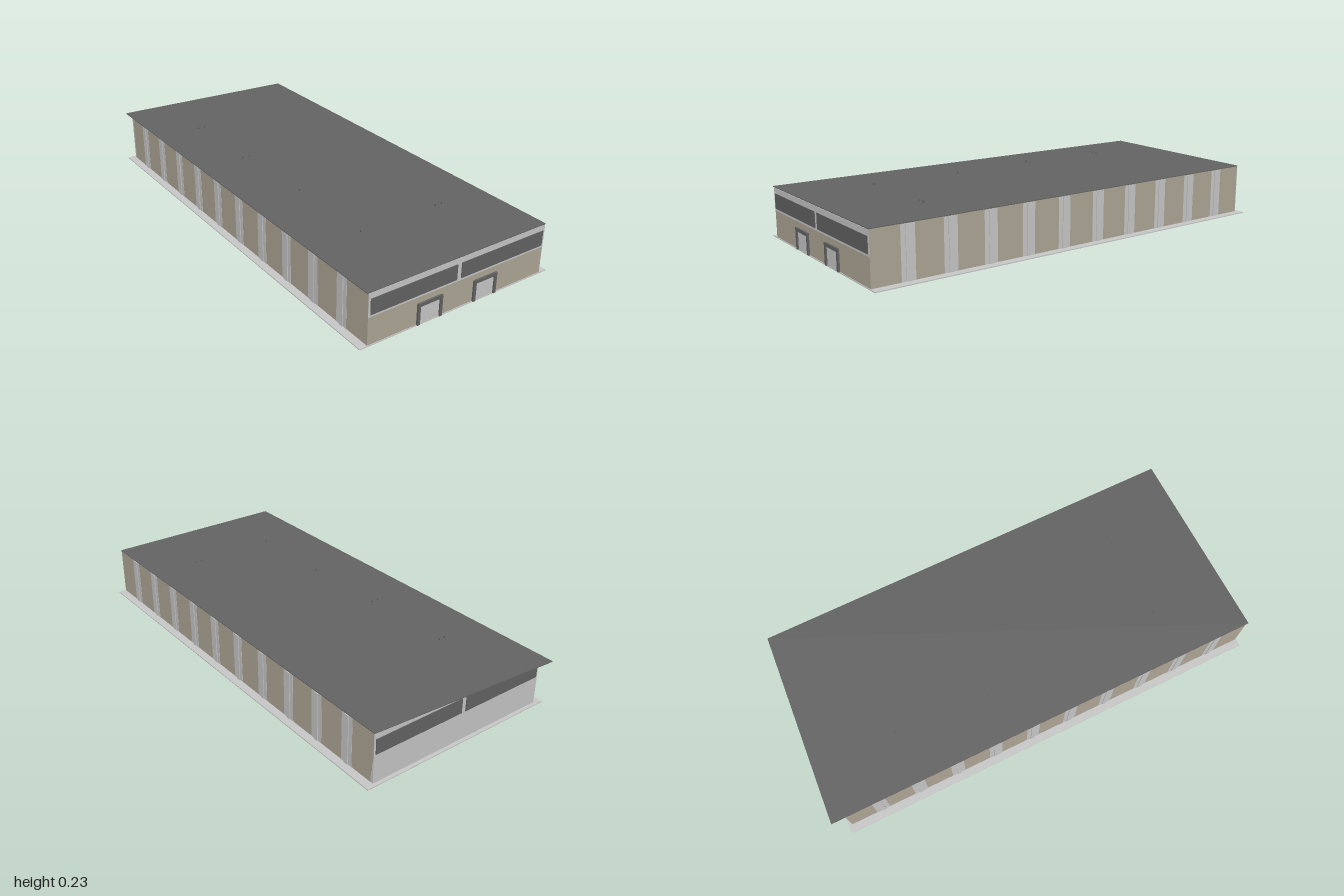
import * as THREE from 'three';

const mat = (name, color) => Object.assign(new THREE.MeshStandardMaterial({ color }), { name });

export function createModel() {
  const tan = mat('tan cladding', 0xb0a898);
  const light = mat('light grey', 0xc9c9c9);
  const dark = mat('dark grey', 0x646464);

  const model = new THREE.Group();
  model.name = 'warehouse';

  // Box given by its minimum and maximum corners
  function box(name, material, [x0, y0, z0], [x1, y1, z1]) {
    const mesh = new THREE.Mesh(new THREE.BoxGeometry(x1 - x0, y1 - y0, z1 - z0), material);
    mesh.position.set((x0 + x1) / 2, (y0 + y1) / 2, (z0 + z1) / 2);
    mesh.name = name;
    model.add(mesh);
  }

  const L = -0.434, R = 0.43, F = 0.99, B = -0.94, T = 0.22, W = 0.01;

  // Ground slab
  box('slab', light, [-0.468, 0, -0.958], [0.466, 0.004, 0.993]);

  // Long side walls
  box('rightWall', tan, [R - W, 0.003, B], [R, T + 0.003, F]);
  box('leftWall', tan, [L, 0.003, B], [L + W, T, F]);

  // End walls: lower cladding and light upper band
  box('frontWallLower', tan, [L + W, 0.003, F - W], [R - W, 0.12, F]);
  box('frontWallUpper', light, [L + W, 0.12, F - W], [R - W, T, F]);
  box('frontBandEndLeft', light, [R - W, 0.12, F], [R, T, F + 0.001]);
  box('frontBandEndRight', light, [L, 0.12, F], [L + W, T, F + 0.001]);
  box('backWall', light, [L, 0.003, B - 0.002], [R, T, B + W]);

  // Window strips on both ends
  for (const [x0, x1] of [[-0.425, -0.024], [-0.003, 0.422]]) {
    box('frontWindow', dark, [x0, 0.13, F], [x1, 0.196, F + 0.003]);
    box('backWindow', dark, [x0, 0.13, B - 0.005], [x1, 0.196, B - 0.002]);
  }

  // Front doors with dark surrounds
  for (const x of [-0.151, 0.123]) {
    box('doorPanel', light, [x - 0.047, 0.003, F], [x + 0.047, 0.081, F + 0.002]);
    box('doorHead', dark, [x - 0.059, 0.081, F], [x + 0.059, 0.095, F + 0.008]);
    for (const s of [-1, 1]) {
      const a = x + s * 0.047, b = x + s * 0.059;
      box('doorJamb', dark, [Math.min(a, b), 0.003, F], [Math.max(a, b), 0.081, F + 0.008]);
    }
  }

  // Columns along both sides: flat strip with a raised centre rib
  for (let i = 0; i < 10; i++) {
    const z = 0.837 - i * 0.181;
    for (const [side, x, s] of [['left', R, 1], ['right', L, -1]]) {
      const span = (d) => [Math.min(x, x + s * d), Math.max(x, x + s * d)];
      const [a0, a1] = span(0.001), [b0, b1] = span(0.004);
      box(side + 'ColumnStrip', light, [a0, 0.004, z - 0.03], [a1, T, z + 0.03]);
      box(side + 'ColumnRib', light, [b0, 0.004, z - 0.01], [b1, T, z + 0.01]);
    }
  }

  // Roof sheet, its back edge running out further on one side
  const outline = new THREE.Shape([
    [-0.441, -0.992], [0.431, -0.992], [0.431, 0.943], [-0.441, 1],
  ].map(([x, y]) => new THREE.Vector2(x, y)));
  const roofGeo = new THREE.ExtrudeGeometry(outline, { depth: 0.003, bevelEnabled: false });
  roofGeo.rotateX(-Math.PI / 2);
  const roof = new THREE.Mesh(roofGeo, dark);
  roof.position.y = 0.2225;
  roof.name = 'roof';
  model.add(roof);

  // Small roof vents
  for (const [x, z] of [[-0.233, -0.61], [-0.203, -0.61], [-0.233, -0.19], [-0.203, -0.19],
    [-0.203, 0.22], [-0.203, 0.64], [0.175, 0.64], [0.208, 0.64]]) {
    box('roofVent', dark, [x - 0.001, 0.225, z - 0.003], [x + 0.001, 0.234, z + 0.003]);
  }
  return model;
}
